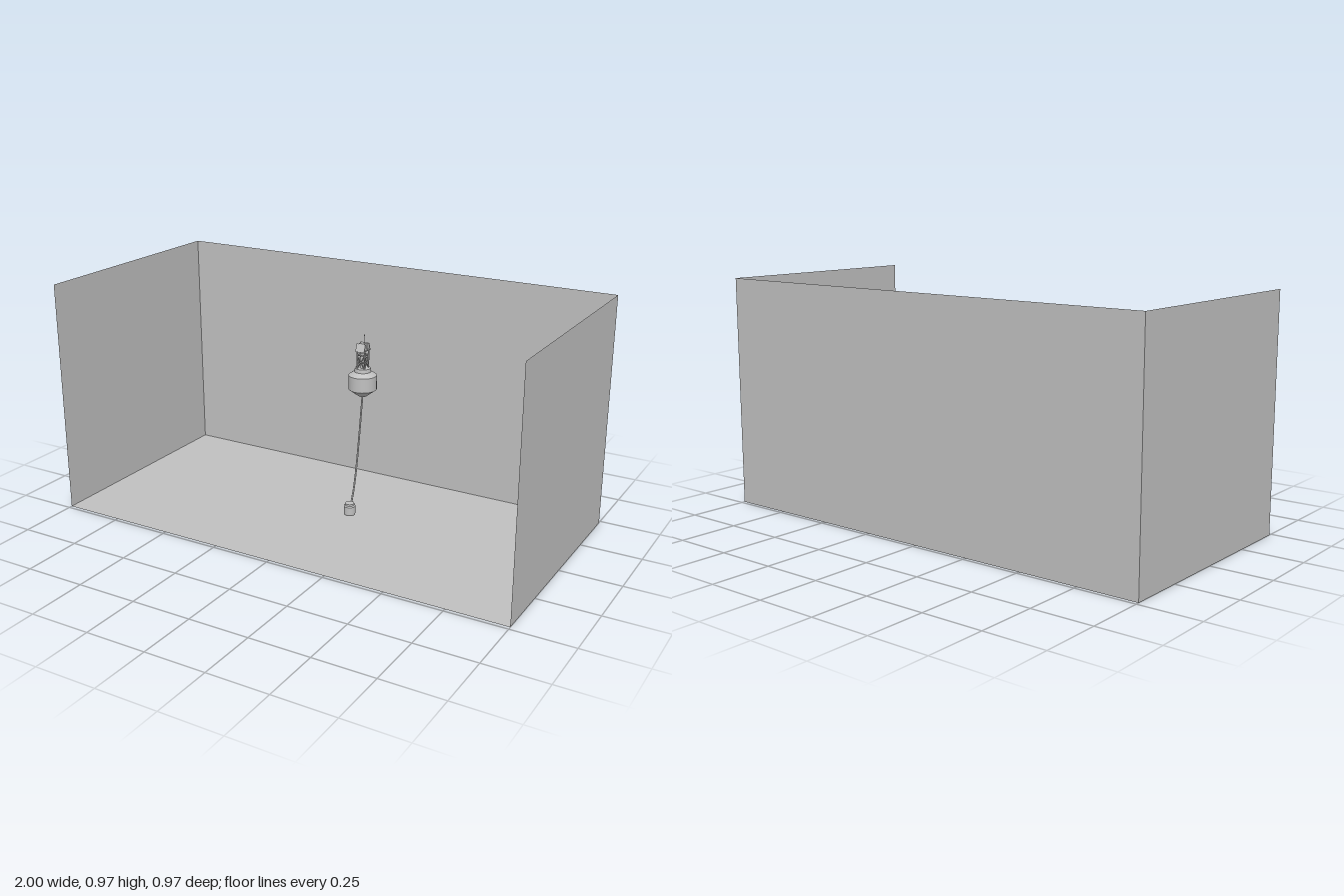
import * as THREE from 'three';

export function createModel() {
  const root = new THREE.Group();
  const grey = new THREE.MeshStandardMaterial({ color: 0xc0c0c0, side: THREE.DoubleSide });
  grey.name = 'plain grey';
  const H = 0.97, D = 0.97;

  function add(parent, name, geometry, x = 0, y = 0, z = 0) {
    const mesh = new THREE.Mesh(geometry, grey);
    mesh.name = name;
    mesh.position.set(x, y, z);
    parent.add(mesh);
    return mesh;
  }
  // Faceted solid of revolution: each band gets its own ring for crisp edges
  function turned(parent, name, profile, y = 0) {
    const group = new THREE.Group();
    group.name = name;
    group.position.y = y;
    for (let i = 0; i < profile.length - 1; i++) {
      const pair = [profile[i], profile[i + 1]].map(p => new THREE.Vector2(...p));
      add(group, name + 'Band', new THREE.LatheGeometry(pair, 28));
    }
    parent.add(group);
    return group;
  }
  function rod(parent, name, a, b, r) {
    const path = new THREE.LineCurve3(new THREE.Vector3(...a), new THREE.Vector3(...b));
    return add(parent, name, new THREE.TubeGeometry(path, 1, r, 8));
  }

  // Open stage: floor, back wall and two side walls
  add(root, 'floor', new THREE.PlaneGeometry(2, D)).rotation.x = -Math.PI / 2;
  add(root, 'backWall', new THREE.PlaneGeometry(2, H), 0, H / 2, -D / 2);
  for (const s of [-1, 1]) {
    const wall = add(root, s > 0 ? 'leftWall' : 'rightWall', new THREE.PlaneGeometry(D, H), s, H / 2, 0);
    wall.rotation.y = -s * Math.PI / 2;
  }

  // Floating buoy hull
  const buoy = new THREE.Group();
  buoy.name = 'buoy';
  buoy.position.set(-0.032, 0, -0.324);
  root.add(buoy);
  turned(buoy, 'hull', [[0, 0.425], [0.018, 0.425], [0.061, 0.457], [0.061, 0.52],
    [0.036, 0.536], [0.034, 0.552], [0, 0.552]]);

  // Lattice tower
  const w = 0.018, y0 = 0.55, y1 = 0.63;
  for (let i = 0; i < 4; i++) {
    const a = i * Math.PI / 2 + Math.PI / 4, b = a + Math.PI / 2, r = w * Math.SQRT2;
    const at = (t, y) => [r * Math.cos(t), y, r * Math.sin(t)];
    rod(buoy, 'towerLeg', at(a, y0), at(a, y1), 0.003);
    rod(buoy, 'towerBrace', at(a, y0), at(b, y1 - 0.02), 0.002);
    rod(buoy, 'towerBrace', at(b, y0), at(a, y1 - 0.02), 0.002);
    for (const y of [0.58, 0.61, y1]) rod(buoy, 'towerRail', at(a, y), at(b, y), 0.0025);
  }
  add(buoy, 'instrumentCan', new THREE.CylinderGeometry(0.012, 0.012, 0.06, 16), 0, 0.582, 0);

  // Head with tilted panels and antenna
  add(buoy, 'headBox', new THREE.BoxGeometry(0.026, 0.034, 0.026), 0, 0.645, 0);
  for (const s of [-1, 1]) {
    const panel = add(buoy, 'solarPanel', new THREE.BoxGeometry(0.042, 0.036, 0.003), 0, 0.644, s * 0.022);
    panel.rotation.x = -s * 0.35;
  }
  rod(buoy, 'antenna', [0.006, 0.66, 0], [0.006, 0.7, 0], 0.0018);

  // Mooring line hanging to the anchor
  const line = [[-0.03, 0.43], [0, 0.286], [0.027, 0.174], [0.053, 0.1], [0.085, 0.055]]
    .map(([x, y]) => new THREE.Vector3(x, y, -0.32 + (x + 0.03) * 2.65));
  add(root, 'mooringLine', new THREE.TubeGeometry(new THREE.CatmullRomCurve3(line), 32, 0.004, 8));

  // Sinker weight with cap
  const sinker = turned(root, 'sinker', [[0, 0], [0.022, 0], [0.024, 0.006], [0.024, 0.038],
    [0.019, 0.042], [0.019, 0.05], [0, 0.05]], 0.036);
  sinker.position.x = 0.102;
  sinker.position.z = 0.025;
  return root;
}
